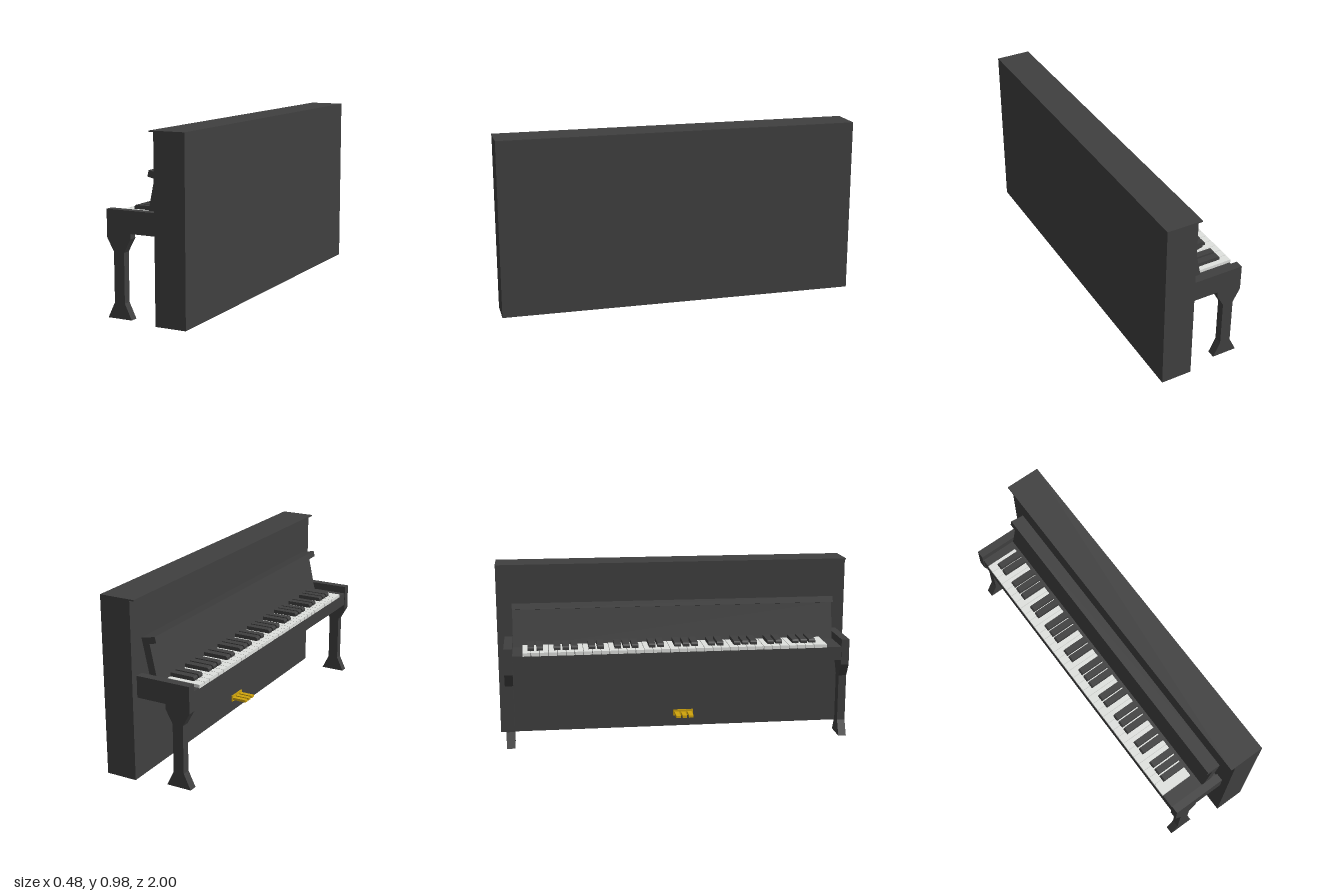
import * as THREE from 'three';

// Upright piano: the keyboard faces -x, its length runs along z.
export function createModel() {
  const piano = new THREE.Group();
  piano.name = 'uprightPiano';

  const ebony = new THREE.MeshStandardMaterial({ color: 0x404040 });
  ebony.name = 'ebony';
  const ivory = new THREE.MeshStandardMaterial({ color: 0xe0e2df });
  ivory.name = 'ivory';
  const brass = new THREE.MeshStandardMaterial({ color: 0xd0a40c });
  brass.name = 'brass';

  const add = (name, geometry, material, parent = piano) => {
    const mesh = new THREE.Mesh(geometry, material);
    mesh.name = name;
    parent.add(mesh);
    return mesh;
  };
  // Box given by its limits on each axis
  const box = (name, [x0, x1], [y0, y1], [z0, z1], material, parent) => {
    const g = new THREE.BoxGeometry(x1 - x0, y1 - y0, z1 - z0);
    g.translate((x0 + x1) / 2, (y0 + y1) / 2, (z0 + z1) / 2);
    return add(name, g, material, parent);
  };
  // Side profile in x and y, extruded from z0 to z1
  const slab = (name, points, [z0, z1], material, parent) => {
    const shape = new THREE.Shape(points.map(([x, y]) => new THREE.Vector2(x, y)));
    const g = new THREE.ExtrudeGeometry(shape, { depth: z1 - z0, bevelEnabled: false });
    g.translate(0, 0, z0);
    return add(name, g, material, parent);
  };
  const group = (name) => {
    const g = new THREE.Group();
    g.name = name;
    piano.add(g);
    return g;
  };

  // Cabinet with a thin overhanging lid
  box('cabinet', [0.067, 0.24], [0, 0.97], [-1, 1], ebony);
  box('lid', [0.042, 0.24], [0.969, 0.976], [-1, 1], ebony);

  // Key bed between the arms
  box('keyBed', [-0.236, 0.067], [0.446, 0.522], [-0.914, 0.914], ebony);

  // Leaning music desk with a ledge along its top
  slab('musicDesk', [
    [-0.03, 0.515], [0.011, 0.515], [0.063, 0.752],
    [-0.016, 0.769], [-0.024, 0.736], [0.016, 0.727],
  ], [-0.912, 0.912], ebony);

  // Arms and flared legs at both ends
  const legProfile = [
    [-0.24, 0], [-0.1, 0], [-0.14, 0.083], [-0.14, 0.346], [-0.1, 0.419],
    [-0.1, 0.447], [-0.24, 0.447], [-0.24, 0.419], [-0.2, 0.346], [-0.2, 0.083],
  ];
  for (const [side, z] of [['right', [-0.96, -0.914]], ['left', [0.912, 0.956]]]) {
    box(side + 'Arm', [-0.24, 0.067], [0.446, 0.564], z, ebony);
    slab(side + 'Leg', legProfile, z, ebony);
  }

  // Five octaves of white keys; black keys sit over the gaps in twos and threes
  const whiteKeys = group('whiteKeys');
  const blackKeys = group('blackKeys');
  const start = -0.86, end = 0.83, pitch = 0.0475, count = 35, gap = 0.0015;
  const blackProfile = [
    [-0.19, 0.536], [-0.05, 0.536], [-0.05, 0.56], [-0.183, 0.56], [-0.19, 0.552],
  ];
  for (let i = 0; i < count; i++) {
    const z0 = start + i * pitch;
    const z1 = i === count - 1 ? end : z0 + pitch;
    box('whiteKey', [-0.239, -0.05], [0.52, 0.539], [z0 + gap, z1 - gap], ivory, whiteKeys);
    if (![2, 6].includes(i % 7)) {
      const zc = z0 + pitch;
      slab('blackKey', blackProfile, [zc - 0.018, zc + 0.018], ebony, blackKeys);
    }
  }

  // Three pedals on a back plate
  const pedals = group('pedals');
  box('pedalPlate', [0.061, 0.068], [0.062, 0.098], [0, 0.115], brass, pedals);
  for (let i = 0; i < 3; i++) {
    const zc = 0.02 + i * 0.0375;
    box('pedal', [-0.024, 0.063], [0.072, 0.086], [zc - 0.013, zc + 0.013], brass, pedals);
  }

  return piano;
}
